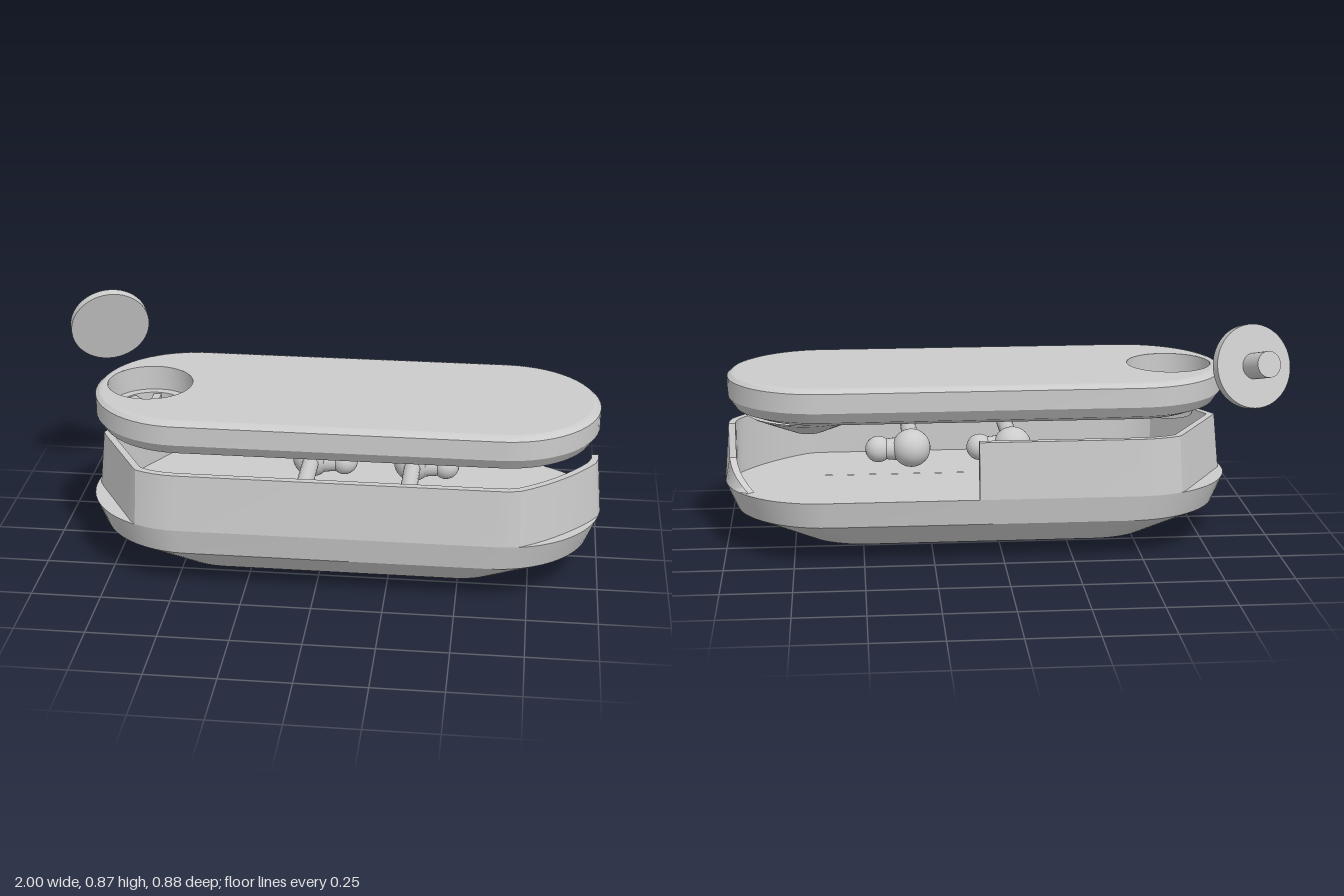
import * as THREE from 'three';
import { toCreasedNormals } from 'three/addons/utils/BufferGeometryUtils.js';

const mat = new THREE.MeshStandardMaterial({ color: 0xcccccc, side: THREE.DoubleSide });
const CX = 0.08, CZ = 0.08, CAP = 28;

// Stadium outline: two half circles of radius r, centres h either side of the middle
function stadium(r, h) {
  const pts = [];
  for (const side of [0, 1]) {
    for (let i = 0; i <= CAP; i++) {
      const a = -Math.PI / 2 + side * Math.PI + (i / CAP) * Math.PI;
      pts.push([CX + (side ? -h : h) + r * Math.cos(a), CZ + r * Math.sin(a)]);
    }
  }
  return pts;
}
const ring = (y, r, h) => stadium(r, h).map(([x, z]) => [x, y, z]);

// Skin between equal-length rows of points
function loft(rows, wrapAlong, wrapAcross = false) {
  const n = rows[0].length, pos = [];
  for (let j = 0; j < rows.length - (wrapAcross ? 0 : 1); j++) {
    const lo = rows[j], hi = rows[(j + 1) % rows.length];
    for (let i = 0; i < n - (wrapAlong ? 0 : 1); i++) {
      const k = (i + 1) % n;
      pos.push(...lo[i], ...hi[i], ...lo[k], ...lo[k], ...hi[i], ...hi[k]);
    }
  }
  const g = new THREE.BufferGeometry();
  g.setAttribute('position', new THREE.Float32BufferAttribute(pos, 3));
  return toCreasedNormals(g, 0.3);
}

function add(parent, name, geo, x = 0, y = 0, z = 0) {
  const m = new THREE.Mesh(geo, mat);
  m.name = name;
  m.position.set(x, y, z);
  parent.add(m);
  return m;
}

// Flat stadium plate with a round hole
function plate(r, h, hole) {
  const s = new THREE.Shape(stadium(r, h).map(([x, z]) => new THREE.Vector2(x, -z)));
  const p = new THREE.Path();
  p.absarc(hole.x, -hole.z, hole.r, 0, Math.PI * 2, true);
  s.holes.push(p);
  return new THREE.ShapeGeometry(s, 24).rotateX(-Math.PI / 2);
}

// Case wall: follows the outline, flattened at three corners, open at the back left
function wallRows() {
  const section = [[0.25, 0.36], [0.455, 0.343], [0.455, 0.318], [0.2, 0.318]];
  // centre, direction and distance of each flat, and how strongly it cuts
  const flats = [[-0.56, -0.866, 0.5, 0.285, 1], [-0.56, -0.866, -0.5, 0.285, 1], [0.56, 0.707, 0.707, 0.285, 0.6]];
  const tip = CAP / 2, tail = 6;
  return section.map(([y, r]) => {
    const slim = r - 0.343;
    const pts = stadium(r, 0.56).map(([x, z], i) => {
      for (const [c, nx, nz, d, cut] of flats) {
        const over = ((x - CX - c) * nx + (z - CZ) * nz - d - slim) * cut;
        if (over > 0 && (x - CX) / c > 1) { x -= over * nx; z -= over * nz; }
      }
      // low tail that runs down to the rim past the tip
      const top = i < tip ? 0.251 + 0.085 * (i - tip + tail) / (tail - 1) : 0.455;
      return [x, Math.min(y, top), z];
    });
    const kept = pts.slice(tip - tail);
    kept.push([0.09, y, CZ - r]);
    return kept;
  });
}

function buildBase() {
  const base = new THREE.Group();
  base.name = 'base';
  add(base, 'lowerShell', loft([
    ring(0.003, 0.001, 0.001), ring(0.063, 0.253, 0.41), ring(0.155, 0.343, 0.537),
    ring(0.25, 0.36, 0.56), ring(0.25, 0.001, 0.56),
  ], true));
  const rows = wallRows();
  add(base, 'wall', loft(rows, false, true));
  // closed ends of the wall
  for (const i of [0, rows[0].length - 1]) {
    add(base, 'wallEnd', loft([[rows[0][i], rows[3][i]], [rows[1][i], rows[2][i]]], false));
  }
  // two buds held on pegs from the front wall
  for (const x of [0.32, -0.05]) {
    const bud = new THREE.Group();
    bud.name = 'bud';
    bud.position.set(x, 0.365, 0.02);
    add(bud, 'budBody', new THREE.SphereGeometry(0.07, 24, 16));
    add(bud, 'budNeck', new THREE.CylinderGeometry(0.035, 0.045, 0.09, 20).rotateZ(-Math.PI / 2), 0.07, -0.005, 0.01);
    add(bud, 'budTip', new THREE.SphereGeometry(0.048, 20, 14), 0.12, -0.005, 0.01);
    add(bud, 'budPeg', new THREE.CylinderGeometry(0.03, 0.03, 0.38, 16).rotateX(Math.PI / 2), 0, 0, 0.19);
    base.add(bud);
  }
  return base;
}

function buildLid() {
  const lid = new THREE.Group();
  lid.name = 'lid';
  const hole = { x: -0.63, z: 0.07, r: 0.153 };
  add(lid, 'lidSide', loft([
    ring(0.508, 0.26, 0.56), ring(0.53, 0.315, 0.56), ring(0.57, 0.342, 0.56),
    ring(0.64, 0.342, 0.56), ring(0.652, 0.328, 0.56), ring(0.655, 0.315, 0.56),
  ], true));
  add(lid, 'lidTop', plate(0.315, 0.56, hole), 0, 0.655, 0);
  add(lid, 'lidUnderside', plate(0.26, 0.56, { ...hole, r: 0.105 }), 0, 0.508, 0);

  // rounded pad bulging under the left end
  const pad = [[0.515, 0.24, 0.27], [0.505, 0.22, 0.25], [0.462, 0.11, 0.11], [0.448, 0.06, 0.08], [0.448, 0, 0]];
  add(lid, 'lidPad', loft(pad.map(([y, rx, rz]) => Array.from({ length: 40 }, (_, i) => {
    const a = (i / 40) * Math.PI * 2;
    return [0.69 + rx * Math.cos(a), y, 0.07 - 0.06 * (0.515 - y) / 0.067 + rz * Math.sin(a)];
  })).reverse(), true));

  // stepped well with a toothed socket
  const well = [[0.153, 0.655], [0.153, 0.565], [0.122, 0.565], [0.122, 0.508], [0.105, 0.508], [0.09, 0.465], [0, 0.465]];
  const wellGeo = new THREE.LatheGeometry(well.map(([r, y]) => new THREE.Vector2(r, y)), 40);
  add(lid, 'socketWell', toCreasedNormals(wellGeo, 0.4), hole.x, 0, hole.z);
  const teeth = new THREE.Group();
  teeth.name = 'socketTeeth';
  teeth.position.set(hole.x, 0.53, hole.z);
  for (let i = 0; i < 8; i++) {
    const a = (i / 8) * Math.PI * 2;
    add(teeth, 'tooth', new THREE.BoxGeometry(0.05, 0.06, 0.028), 0.097 * Math.cos(a), 0, -0.097 * Math.sin(a)).rotation.y = a;
  }
  lid.add(teeth);
  return lid;
}

// Loose round cap with a short stem, tilted behind the case
function buildCap() {
  const cap = new THREE.Group();
  cap.name = 'roundCap';
  add(cap, 'capDisc', new THREE.CylinderGeometry(0.147, 0.147, 0.032, 48), 0, 0.016, 0);
  add(cap, 'capStem', new THREE.CylinderGeometry(0.046, 0.046, 0.1, 32), 0, 0.081, 0);
  cap.position.set(-0.853, 0.72, -0.299);
  cap.quaternion.setFromUnitVectors(new THREE.Vector3(0, 1, 0), new THREE.Vector3(-0.33, 0.26, -0.9).normalize());
  return cap;
}

export function createModel() {
  const model = new THREE.Group();
  model.name = 'pocketCase';
  model.add(buildBase(), buildLid(), buildCap());
  return model;
}
